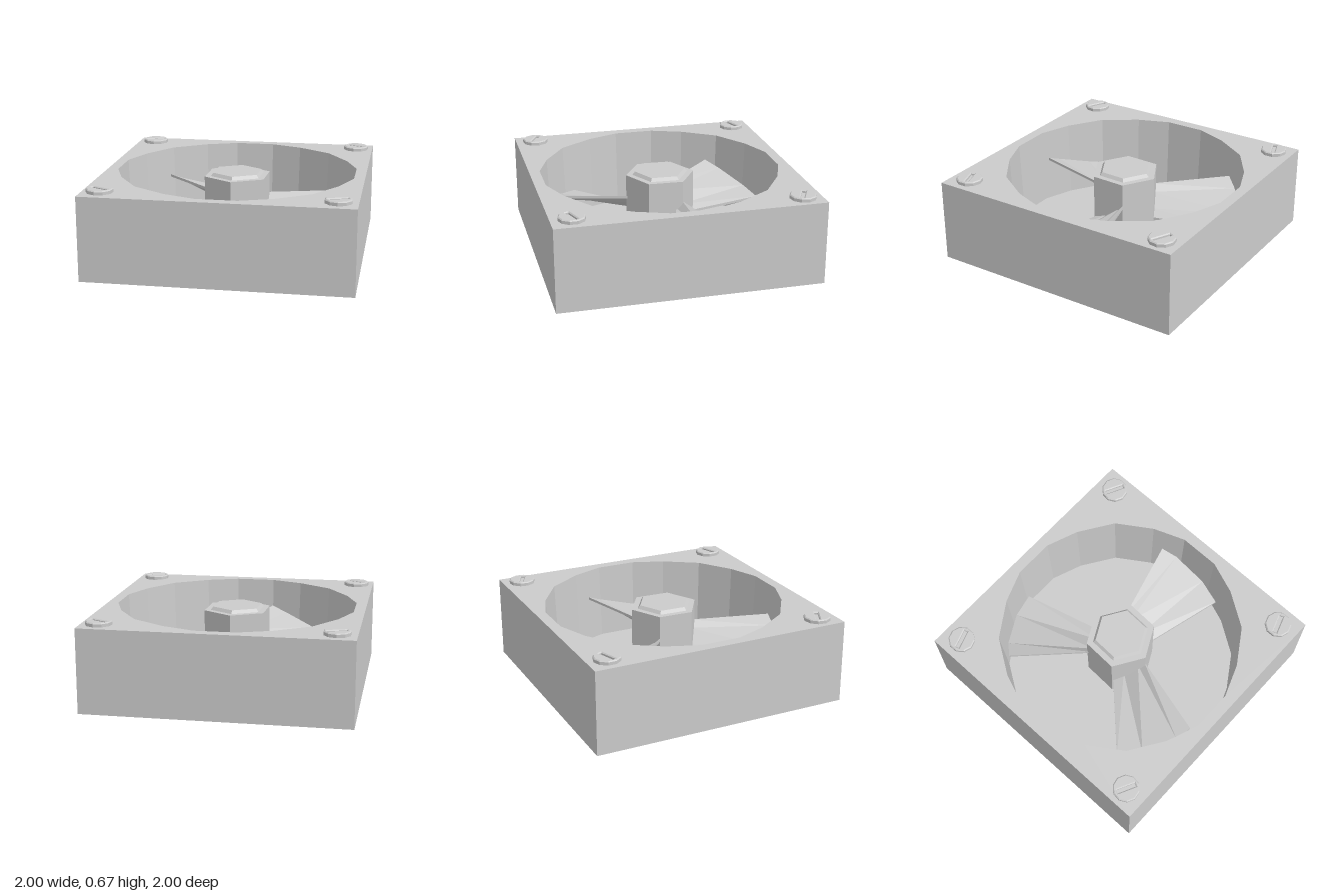
import * as THREE from 'three';

const TOP = 0.64, FLOOR = 0.045;

function mesh(name, geometry, parent) {
  const material = new THREE.MeshStandardMaterial({
    color: 0xcccccc, flatShading: true, side: THREE.DoubleSide,
  });
  const m = new THREE.Mesh(geometry, material);
  m.name = name;
  parent.add(m);
  return m;
}

// Builds a geometry from a list of four-cornered faces
function quadGeometry(quads) {
  const pos = quads.flatMap(([a, b, c, d]) => [a, b, c, a, c, d].flat());
  const g = new THREE.BufferGeometry();
  g.setAttribute('position', new THREE.Float32BufferAttribute(pos, 3));
  g.computeVertexNormals();
  return g;
}

// Twenty-sided outline of the bore: five corners per quarter
function boreOutline() {
  const corners = [[0.917, 0.154], [0.825, 0.397], [0.655, 0.655], [0.397, 0.825], [0.154, 0.917]];
  const outline = [];
  for (let q = 0; q < 4; q++) {
    for (const c of corners) {
      outline.push(new THREE.Vector2(...c).rotateAround(new THREE.Vector2(), q * Math.PI / 2));
    }
  }
  return outline;
}

// Square frame: open outer walls, top plate with round hole, tapered bore, inset floor panel
function createFrame() {
  const frame = new THREE.Group();
  frame.name = 'frame';

  const walls = new THREE.CylinderGeometry(Math.SQRT2, Math.SQRT2, TOP, 4, 1, true, Math.PI / 4);
  mesh('outerWalls', walls.translate(0, TOP / 2, 0), frame);

  const rim = boreOutline();
  const plate = new THREE.Shape([[-1, -1], [1, -1], [1, 1], [-1, 1]].map(p => new THREE.Vector2(...p)));
  plate.holes.push(new THREE.Path(rim));
  mesh('topPlate', new THREE.ShapeGeometry(plate).rotateX(-Math.PI / 2).translate(0, TOP, 0), frame);

  const taper = 0.973;
  const bore = rim.map((a, i) => {
    const b = rim[(i + 1) % rim.length];
    return [[a.x, TOP, a.y], [b.x, TOP, b.y],
      [b.x * taper, FLOOR, b.y * taper], [a.x * taper, FLOOR, a.y * taper]];
  });
  mesh('bore', quadGeometry(bore), frame);

  mesh('floor', new THREE.PlaneGeometry(1.92, 1.92).rotateX(-Math.PI / 2).translate(0, FLOOR, 0), frame);
  return frame;
}

// One blade: four stations from the raised edge to the low edge, joined root to tip
function bladeGeometry() {
  const thick = 0.02;
  const root = [[0.2, 0.43, -0.125], [0.2, 0.378, -0.078], [0.2, 0.292, 0.036], [0.2, 0.262, 0.125]];
  const tip = [[0.82, 0.43, -0.293], [0.862, 0.378, -0.175], [0.872, 0.292, 0.1], [0.82, 0.262, 0.29]];
  const low = row => row.map(([x, y, z]) => [x, y - thick, z]);
  const rootLow = low(root), tipLow = low(tip);
  const quads = [
    [root[0], tip[0], tipLow[0], rootLow[0]],
    [root[3], rootLow[3], tipLow[3], tip[3]],
  ];
  for (let j = 0; j < 3; j++) {
    quads.push(
      [root[j], root[j + 1], tip[j + 1], tip[j]],
      [rootLow[j], tipLow[j], tipLow[j + 1], rootLow[j + 1]],
      [tip[j], tip[j + 1], tipLow[j + 1], tipLow[j]],
    );
  }
  return quadGeometry(quads);
}

// Hexagonal hub with a small tapered cap, and three blades
function createFan() {
  const fan = new THREE.Group();
  fan.name = 'fan';
  const turn = -0.04;
  const hubTop = 0.6, capTop = 0.625;
  mesh('hub', new THREE.CylinderGeometry(0.267, 0.267, hubTop - FLOOR, 6)
    .rotateY(turn).translate(0, (hubTop + FLOOR) / 2, 0), fan);
  mesh('hubCap', new THREE.CylinderGeometry(0.197, 0.217, capTop - hubTop, 6)
    .rotateY(turn).translate(0, (hubTop + capTop) / 2, 0), fan);
  const blade = bladeGeometry();
  for (let k = 0; k < 3; k++) mesh('blade', blade, fan).rotation.y = k * Math.PI * 2 / 3;
  return fan;
}

// Ten-sided bevelled screw head with a closed V-shaped slot
function createScrew() {
  const screw = new THREE.Group();
  screw.name = 'screw';
  const bevel = 0.008, r = 0.1 - bevel, w = 0.08, h = 0.022;
  const points = [];
  for (let i = 0; i < 10; i++) {
    const a = i / 10 * Math.PI * 2;
    points.push(new THREE.Vector2(r * Math.cos(a), r * Math.sin(a)));
  }
  const head = new THREE.Shape(points);
  head.holes.push(new THREE.Path([[-w, -h], [-w, h], [w, h], [w, -h]].map(p => new THREE.Vector2(...p))));
  mesh('screwHead', new THREE.ExtrudeGeometry(head, {
    depth: 0.033, bevelEnabled: true, bevelThickness: 0.007, bevelSize: bevel, bevelSegments: 1,
  }).rotateX(-Math.PI / 2).translate(0, -0.01, 0), screw);
  mesh('slotFloor', new THREE.BoxGeometry(2 * w, 0.016, 2 * h).translate(0, 0.002, 0), screw);
  return screw;
}

export function createModel() {
  const model = new THREE.Group();
  model.name = 'caseFan';
  model.add(createFrame(), createFan());
  for (const [x, z] of [[-0.855, -0.85], [0.865, -0.852], [-0.865, 0.845], [0.856, 0.845]]) {
    const screw = createScrew();
    screw.position.set(x, TOP, z);
    screw.rotation.y = x * z > 0 ? 0.33 : -0.46;
    model.add(screw);
  }
  return model;
}
